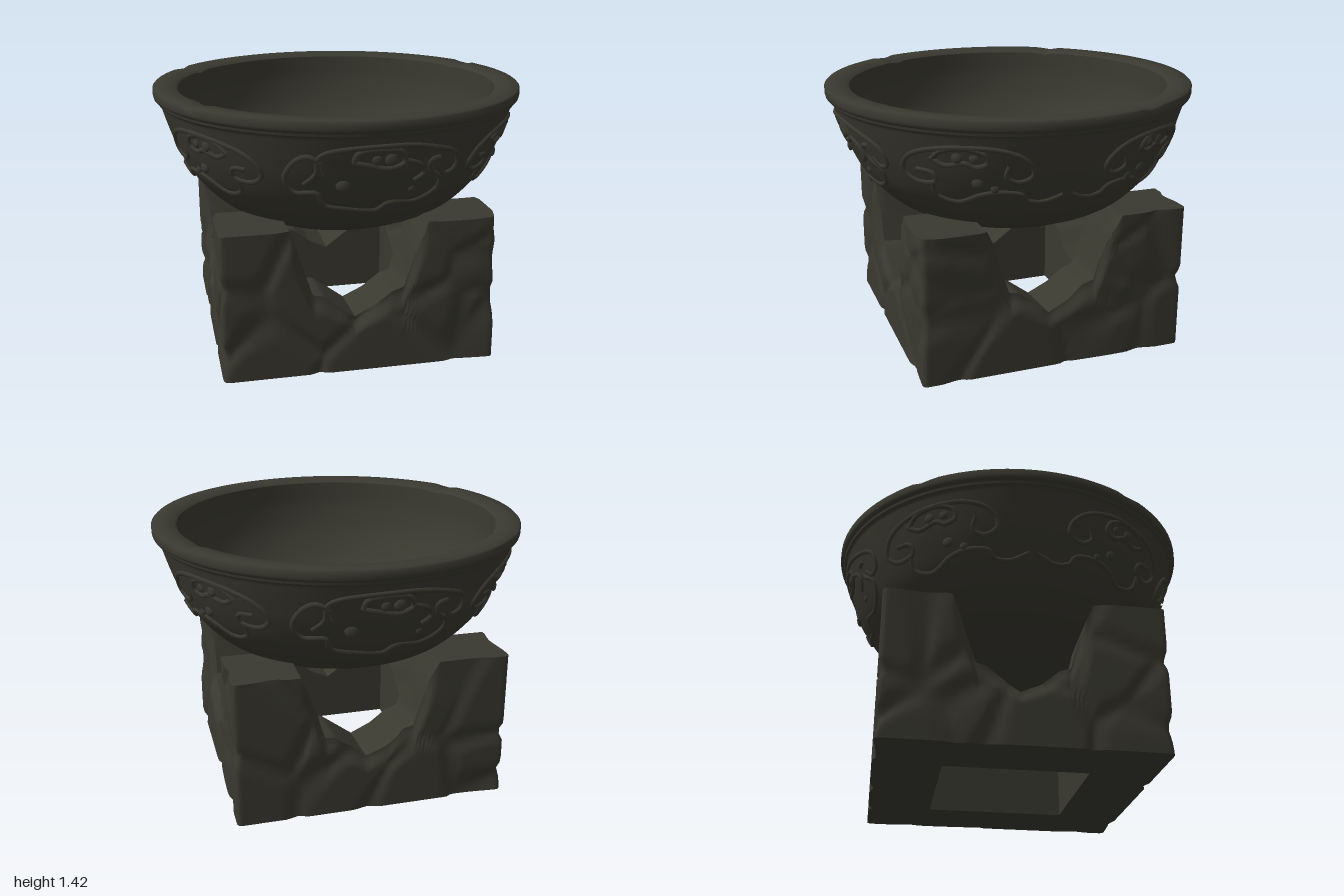
import * as THREE from 'three';
import { mergeGeometries, toCreasedNormals } from 'three/addons/utils/BufferGeometryUtils.js';

const stone = new THREE.MeshStandardMaterial({ color: 0x3a3930 });
stone.name = 'dark stone';

const { clamp, lerp, smoothstep } = THREE.MathUtils;
const v2 = (list) => list.map(([x, y]) => new THREE.Vector2(x, y));

// Smooth bowl wall, from the bottom centre up to the rim
const wall = new THREE.SplineCurve(v2([[0, 0.635], [0.33, 0.66], [0.54, 0.73], [0.68, 0.81], [0.81, 0.95],
  [0.88, 1.08], [0.925, 1.2], [0.965, 1.33]])).getPoints(40);
wall[0].x = 0;

function radiusAt(y) {
  for (let i = 1; i < wall.length; i++) {
    if (y <= wall[i].y) {
      const t = (y - wall[i - 1].y) / (wall[i].y - wall[i - 1].y);
      return lerp(wall[i - 1].x, wall[i].x, t);
    }
  }
  return wall[wall.length - 1].x;
}

function bowlGeometry() {
  const rim = v2([[0.978, 1.338], [0.981, 1.352], [0.997, 1.362], [1, 1.375], [1, 1.408], [0.992, 1.416],
    [0.94, 1.417], [0.885, 1.412], [0.868, 1.4]]);
  const inside = new THREE.SplineCurve(v2([[0.865, 1.36], [0.85, 1.24], [0.79, 1.08], [0.65, 0.92], [0.4, 0.81], [0, 0.77]])).getPoints(28);
  inside[28].x = 0;
  const geo = new THREE.LatheGeometry([...wall, ...rim, ...inside], 120);
  // Chips across the rim
  const chips = [[0.85, -0.4], [-0.78, -0.55], [-0.78, 0.47]].map(([x, z]) => Math.atan2(x, z));
  const p = geo.attributes.position;
  for (let i = 0; i < p.count; i++) {
    if (p.getY(i) < 1.39) continue;
    const a = Math.atan2(p.getX(i), p.getZ(i));
    for (const c of chips) {
      const d = Math.abs(a - c);
      if (d < 0.06) p.setY(i, p.getY(i) - 0.014 * (1 - d / 0.06));
    }
  }
  return toCreasedNormals(geo, 0.8);
}

// Rough frame: stone cells with creases between them
function makeRoughness() {
  let seed = 7;
  const rnd = () => (seed = (seed * 16807) % 2147483647) / 2147483647;
  const cells = [];
  for (let i = 0; i < 44; i++) {
    const side = i % 4, u = rnd() * 1.5 - 0.75, w = 0.6 + rnd() * 0.14, y = rnd() * 0.85;
    const s = side < 2 ? 1 : -1;
    cells.push(side % 2 ? new THREE.Vector3(s * w, y, u) : new THREE.Vector3(u, y, s * w));
  }
  return (p) => {
    let f1 = 9, f2 = 9;
    for (const c of cells) {
      const d = c.distanceTo(p);
      if (d < f1) { f2 = f1; f1 = d; } else if (d < f2) f2 = d;
    }
    return 0.026 * (1 - smoothstep(f2 - f1, 0, 0.1));
  };
}

// Upper edge of one side: two posts with a stepped notch between
const H = 0.73, INNER = 0.38, TOP = 0.8, ROUND = 0.025;
const edge = [[-H, TOP], [-0.68, TOP], [-0.385, TOP], [-0.34, 0.7], [-0.255, 0.435], [-0.2, 0.425], [-0.03, 0.29],
  [0.08, 0.345], [0.17, 0.42], [0.23, 0.44], [0.31, 0.7], [0.36, TOP], [0.68, TOP], [H, TOP]];

function frameGeometry() {
  const rough = makeRoughness();
  const stations = [[-H, TOP]];
  for (let i = 1; i < edge.length; i++) {
    const [a, b] = [edge[i - 1], edge[i]];
    const n = Math.max(4, Math.ceil((b[0] - a[0]) / 0.03));
    for (let k = 1; k <= n; k++) stations.push([lerp(a[0], b[0], k / n), lerp(a[1], b[1], k / n)]);
  }
  // Section: t = 0 is the outer face and t = 1 the inner face, v is the height
  const section = [];
  for (let j = 0; j <= 24; j++) section.push([0, j / 24]);
  for (let j = 1; j <= 6; j++) section.push([j / 6, 1]);
  for (let j = 5; j >= 0; j--) section.push([1, j / 6]);
  section.push([0, 0]);

  const up = new THREE.Vector3(0, 1, 0), sides = [];
  for (let s = 0; s < 4; s++) {
    const pos = [], index = [], n = section.length;
    for (const [x, h] of stations) {
      const notch = smoothstep(TOP - h, 0, 0.2);
      const xi = clamp(x, -INNER, INNER);
      for (const [t, v] of section) {
        // The notch edge is slightly worn on both faces
        const worn = 0.1 * notch * smoothstep(v, 0.75, 1);
        const d = worn + (1 - worn) * t;
        const p = new THREE.Vector3(lerp(x, xi, d), h * v * (1 - 0.06 * notch * t), lerp(H, INNER, d));
        // Rounded vertical corners
        const core = new THREE.Vector3(clamp(p.x, ROUND - H, H - ROUND), p.y, Math.min(p.z, H - ROUND));
        p.sub(core).clampLength(0, ROUND).add(core);
        p.applyAxisAngle(up, s * Math.PI / 2);
        const shrink = 1 - rough(p) * (1 - d);
        pos.push(p.x * shrink - 0.011, p.y, p.z * shrink - 0.015);
      }
    }
    for (let i = 0; i < stations.length - 1; i++) {
      const onPost = Math.min(Math.abs(stations[i][0]), Math.abs(stations[i + 1][0])) >= INNER + 0.004;
      for (let j = 0; j < n - 1; j++) {
        if (onPost && section[j][0] === 1 && section[j + 1][0] === 1) continue;
        const a = i * n + j, b = a + n;
        index.push(a, b, b + 1, a, b + 1, a + 1);
      }
    }
    const g = new THREE.BufferGeometry();
    g.setAttribute('position', new THREE.Float32BufferAttribute(pos, 3));
    g.setIndex(index);
    sides.push(g);
  }
  return toCreasedNormals(mergeGeometries(sides), 1.0);
}

// Relief lines: [sideways, height] seen flat on, wrapped on the bowl
const broadMotif = {
  lines: [
    [[-0.24, 1.14], [-0.27, 1.2], [-0.33, 1.23], [-0.39, 1.19], [-0.42, 1.1], [-0.37, 1.03], [-0.27, 1.03], [-0.23, 0.96],
      [-0.13, 0.935], [0.02, 0.915], [0.09, 0.96], [0.22, 0.95], [0.33, 1.0], [0.35, 1.07], [0.29, 1.12], [0.28, 1.18], [0.33, 1.19]],
    [[-0.33, 1.08], [-0.28, 1.14], [-0.27, 1.23], [-0.15, 1.27], [0.12, 1.28], [0.3, 1.25], [0.42, 1.2], [0.43, 1.12], [0.37, 1.09], [0.33, 1.13]],
    [[-0.11, 1.2], [-0.09, 1.25], [0, 1.265], [0.11, 1.25], [0.14, 1.19], [0.06, 1.16], [-0.03, 1.18], [-0.11, 1.2]],
    [[0.14, 1.2], [0.22, 1.17], [0.25, 1.12], [0.2, 1.08]],
  ],
  knobs: [[-0.15, 1.075, 0.036], [0.07, 1.21, 0.034], [0.0, 1.21, 0.026], [0.2, 1.03, 0.02]],
};
const tailedMotif = {
  lines: [
    [[0.68, 1.13], [0.62, 1.12], [0.6, 1.07], [0.67, 1.06], [0.73, 1.12], [0.71, 1.21], [0.6, 1.26], [0.42, 1.27], [0.28, 1.24],
      [0.2, 1.18], [0.19, 1.12], [0.25, 1.09], [0.31, 1.12], [0.3, 1.18]],
    [[0.61, 1.06], [0.58, 0.99], [0.49, 0.96], [0.41, 1.01], [0.33, 1.03], [0.23, 1.02], [0.19, 0.98], [0.11, 0.97], [0.02, 1.005]],
    [[0.63, 1.2], [0.59, 1.25], [0.5, 1.265], [0.42, 1.24], [0.4, 1.19], [0.45, 1.17], [0.5, 1.19], [0.57, 1.17], [0.63, 1.2]],
  ],
  knobs: [[0.43, 1.08, 0.03], [0.35, 1.05, 0.022], [0.53, 1.215, 0.028], [0.46, 1.215, 0.024]],
};

function reliefGeometry({ lines, knobs }, toAngle) {
  const place = ([u, y]) => {
    const r = radiusAt(y), a = toAngle(u / r);
    return new THREE.Vector3(r * Math.sin(a), y, r * Math.cos(a));
  };
  const parts = lines.map((line) => {
    // Re-project the smoothed line so it hugs the wall
    const flat = new THREE.SplineCurve(v2(line)).getPoints(line.length * 4);
    const curve = new THREE.CatmullRomCurve3(flat.map((p) => place([p.x, p.y])));
    return new THREE.TubeGeometry(curve, line.length * 6, 0.014, 6);
  });
  for (const [u, y, r] of knobs) {
    const c = place([u, y]);
    parts.push(new THREE.SphereGeometry(r, 12, 8).scale(1, 1, 0.5).rotateY(Math.atan2(c.x, c.z)).translate(c.x, c.y, c.z));
  }
  return mergeGeometries(parts);
}

export function createModel() {
  const model = new THREE.Group();
  const add = (name, geo) => {
    const mesh = new THREE.Mesh(geo, stone);
    mesh.name = name;
    model.add(mesh);
  };
  add('bowl', bowlGeometry());
  add('rockFrame', frameGeometry());

  // Six reliefs: a broad one front and back, two tailed ones on each side
  add('frontRelief', reliefGeometry(broadMotif, Math.asin));
  add('backRelief', reliefGeometry(broadMotif, (s) => Math.asin(s) + Math.PI));
  add('frontLeftRelief', reliefGeometry(tailedMotif, Math.acos));
  add('frontRightRelief', reliefGeometry(tailedMotif, (s) => -Math.acos(s)));
  add('backLeftRelief', reliefGeometry(tailedMotif, (s) => Math.PI - Math.acos(s)));
  add('backRightRelief', reliefGeometry(tailedMotif, (s) => Math.PI + Math.acos(s)));
  return model;
}
